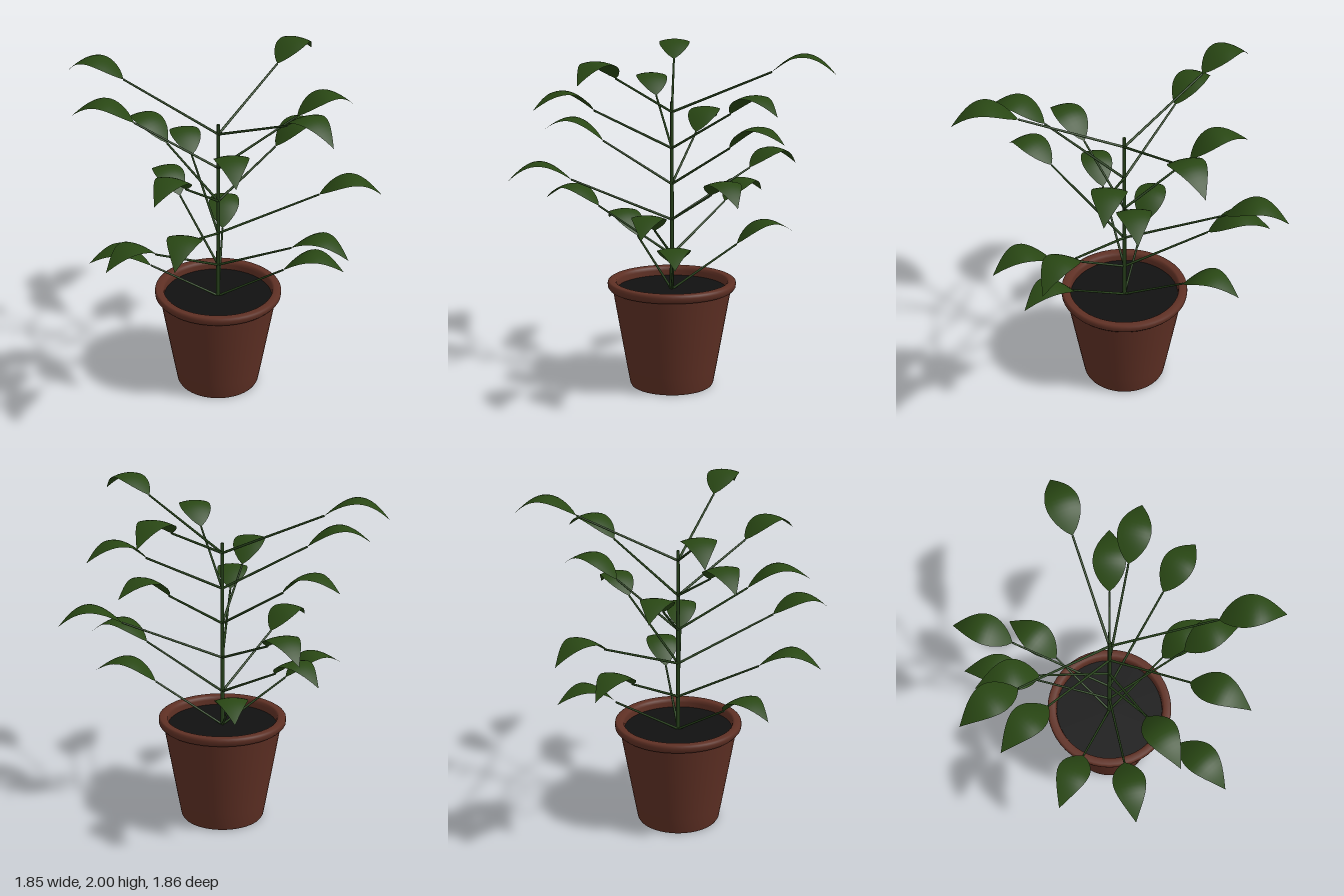
import * as THREE from 'three';

const POT = new THREE.MeshStandardMaterial({ name: 'terracotta', color: 0x5f3024, side: THREE.DoubleSide });
const SOIL = new THREE.MeshStandardMaterial({ name: 'darkSoil', color: 0x111111 });
const STEM = new THREE.MeshStandardMaterial({ name: 'stemGreen', color: 0x26401a });
const LEAF = new THREE.MeshStandardMaterial({ name: 'leafGreen', color: 0x294714, side: THREE.DoubleSide });

function part(name, geometry, material, parent) {
  const mesh = new THREE.Mesh(geometry, material);
  mesh.name = name;
  parent.add(mesh);
  return mesh;
}

// Pointed leaf along +x: arched lengthwise, drooping slightly at the edges
function leafGeometry(length, halfWidth, arch, droop) {
  const g = new THREE.PlaneGeometry(1, 2, 16, 6).rotateX(-Math.PI / 2);
  const p = g.attributes.position;
  for (let i = 0; i < p.count; i++) {
    const t = p.getX(i) + 0.5;
    const s = p.getZ(i);
    const w = Math.max(0.003, Math.sin(Math.PI * Math.pow(t, 0.8)));
    const y = arch * Math.sin(Math.PI * t) - droop * w * w * s * s;
    p.setXYZ(i, t * length, y, s * w * halfWidth);
  }
  g.computeVertexNormals();
  return g;
}

// Cylinder lying between two points
function rod(name, a, b, r0, r1, parent) {
  const dir = b.clone().sub(a);
  const mesh = part(name, new THREE.CylinderGeometry(r1, r0, dir.length(), 8), STEM, parent);
  mesh.position.copy(a).add(b).multiplyScalar(0.5);
  mesh.quaternion.setFromUnitVectors(new THREE.Vector3(0, 1, 0), dir.normalize());
  return mesh;
}

export function createModel() {
  const model = new THREE.Group();
  model.name = 'pottedPlant';
  const plant = new THREE.Group();
  plant.name = 'plantAndPot';
  plant.position.set(0.023, 0, -0.024);
  model.add(plant);

  // Pot: tapered wall and a rounded rim, each a closed turn
  const lathe = (pts) => new THREE.LatheGeometry(pts.map(([x, y]) => new THREE.Vector2(x, y)), 48);
  part('potWall', lathe([[0.243, 0], [0.25, 0.012], [0.268, 0.11], [0.352, 0.59]]), POT, plant);
  part('potBase', new THREE.CircleGeometry(0.243, 48).rotateX(Math.PI / 2), POT, plant);
  part('potRim', lathe([[0.35, 0.585], [0.368, 0.588], [0.379, 0.602], [0.381, 0.62],
    [0.379, 0.634], [0.37, 0.64], [0.34, 0.64], [0.329, 0.632], [0.325, 0.615], [0.325, 0.57]]), POT, plant);

  part('soil', new THREE.CircleGeometry(0.328, 48).rotateX(-Math.PI / 2), SOIL, plant).position.y = 0.585;

  rod('mainStem', new THREE.Vector3(0, 0.57, 0), new THREE.Vector3(0, 1.7, 0), 0.0125, 0.01, plant);

  // Eighteen leaves in a golden-angle spiral over six levels
  const leaf = leafGeometry(0.368, 0.095, 0.112, 0.016);
  const reach = [0.405, 0.49, 0.588];
  const rise = 0.25;
  for (let i = 0; i < 18; i++) {
    const branch = new THREE.Group();
    branch.name = `branch${i + 1}`;
    branch.position.y = 0.58 + 0.212 * (i % 6);
    branch.rotation.y = THREE.MathUtils.degToRad(137.5 * i);
    plant.add(branch);

    const run = reach[i % 3];
    const end = new THREE.Vector3(run, rise, 0);
    rod('leafStalk', new THREE.Vector3(), end, 0.0075, 0.006, branch);

    const blade = part('leaf', leaf, LEAF, branch);
    blade.position.copy(end);
    blade.rotation.z = Math.atan2(rise, run) - THREE.MathUtils.degToRad(24);
  }
  return model;
}
